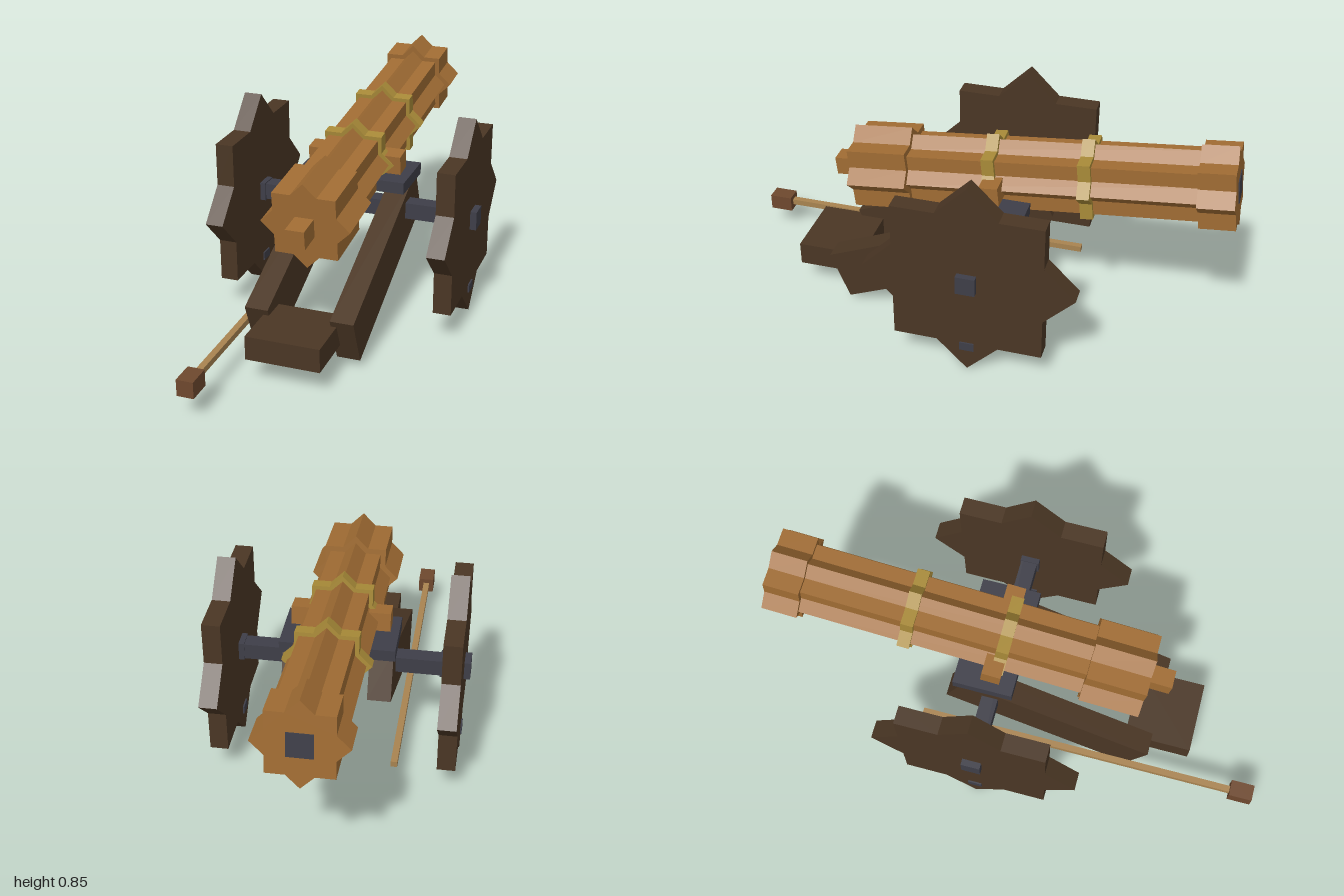
import * as THREE from 'three';

const mat = (name, color) => {
  const m = new THREE.MeshStandardMaterial({ color });
  m.name = name;
  return m;
};

export function createModel() {
  const model = new THREE.Group();
  model.name = 'fieldCannon';
  const bronze = mat('bronze', 0xa06c33);
  const brass = mat('brass', 0xa88a38);
  const darkWood = mat('darkWood', 0x4a3624);
  const iron = mat('iron', 0x3e3e48);
  const paleWood = mat('paleWood', 0xa88350);
  const redWood = mat('redWood', 0x6e482e);

  const add = (parent, name, geometry, material, x = 0, y = 0, z = 0) => {
    const mesh = new THREE.Mesh(geometry, material);
    mesh.name = name;
    mesh.position.set(x, y, z);
    parent.add(mesh);
    return mesh;
  };
  // Box given by its extents on each axis
  const box = (parent, name, material, [x0, x1], [y0, y1], [z0, z1]) =>
    add(parent, name, new THREE.BoxGeometry(x1 - x0, y1 - y0, z1 - z0), material,
      (x0 + x1) / 2, (y0 + y1) / 2, (z0 + z1) / 2);
  // Eight-pointed prism: the union of two squares of half-width h, from z0 to z1
  const star = (h, z0, z1) => {
    const points = [];
    for (let i = 0; i < 16; i++) {
      const r = i % 2 ? h / Math.cos(Math.PI / 8) : h * Math.SQRT2;
      const a = i * Math.PI / 8;
      points.push(new THREE.Vector2(r * Math.cos(a), r * Math.sin(a)));
    }
    return new THREE.ExtrudeGeometry(new THREE.Shape(points), { depth: z1 - z0, bevelEnabled: false })
      .translate(0, 0, z0);
  };

  // Tilted gun barrel, turning about its trunnions
  const barrel = new THREE.Group();
  barrel.name = 'barrel';
  barrel.position.set(0, 0.594, -0.09);
  barrel.rotation.x = 0.103;
  model.add(barrel);
  add(barrel, 'tube', star(0.1, -0.765, 0.345), bronze);
  add(barrel, 'muzzle', star(0.118, -0.897, -0.761), bronze);
  add(barrel, 'breech', star(0.121, 0.34, 0.573), bronze);
  add(barrel, 'frontBand', star(0.115, -0.373, -0.325), brass);
  add(barrel, 'rearBand', star(0.115, -0.007, 0.041), brass);
  box(barrel, 'breechKnob', bronze, [-0.036, 0.036], [-0.036, 0.036], [0.57, 0.668]);
  box(barrel, 'trunnions', bronze, [-0.188, 0.188], [-0.037, 0.037], [-0.037, 0.037]);
  box(barrel, 'bore', iron, [-0.046, 0.046], [-0.046, 0.046], [-0.901, -0.895]);

  // Axle
  box(model, 'axle', iron, [-0.48, 0.48], [0.372, 0.437], [-0.122, -0.058]);

  for (const [side, s] of [['left', 1], ['right', -1]]) {
    const span = (a, b) => (s > 0 ? [a, b] : [-b, -a]);

    // Wheel, hub cap and rim pin
    const wheel = add(model, side + 'Wheel', star(0.285, -0.035, 0.035), darkWood, s * 0.437, 0.403, -0.088);
    wheel.rotation.y = Math.PI / 2;
    box(model, side + 'Hub', iron, span(0.38, 0.497), [0.367, 0.441], [-0.125, -0.051]);
    box(model, side + 'RimPin', iron, span(0.396, 0.478), [0.09, 0.124], [-0.115, -0.06]);

    // Sloping carriage beam and the bearing plate on it
    const beam = add(model, side + 'CarriageBeam', new THREE.BoxGeometry(0.09, 0.2, 0.81), darkWood,
      s * 0.165, 0.276, 0.143);
    beam.rotation.x = 0.389;
    box(model, side + 'BearingPlate', iron, span(0.11, 0.219), [0.498, 0.544], [-0.232, 0]);
  }

  // Tail crosspiece between the beams
  box(model, 'tailCrosspiece', darkWood, [-0.142, 0.142], [0.097, 0.19], [0.45, 0.715]);

  // Ramming rod on the right side
  box(model, 'rammerRod', paleWood, [-0.252, -0.227], [0.109, 0.133], [-0.372, 0.91]);
  box(model, 'rammerHead', redWood, [-0.27, -0.206], [0.088, 0.152], [0.908, 1]);

  return model;
}
